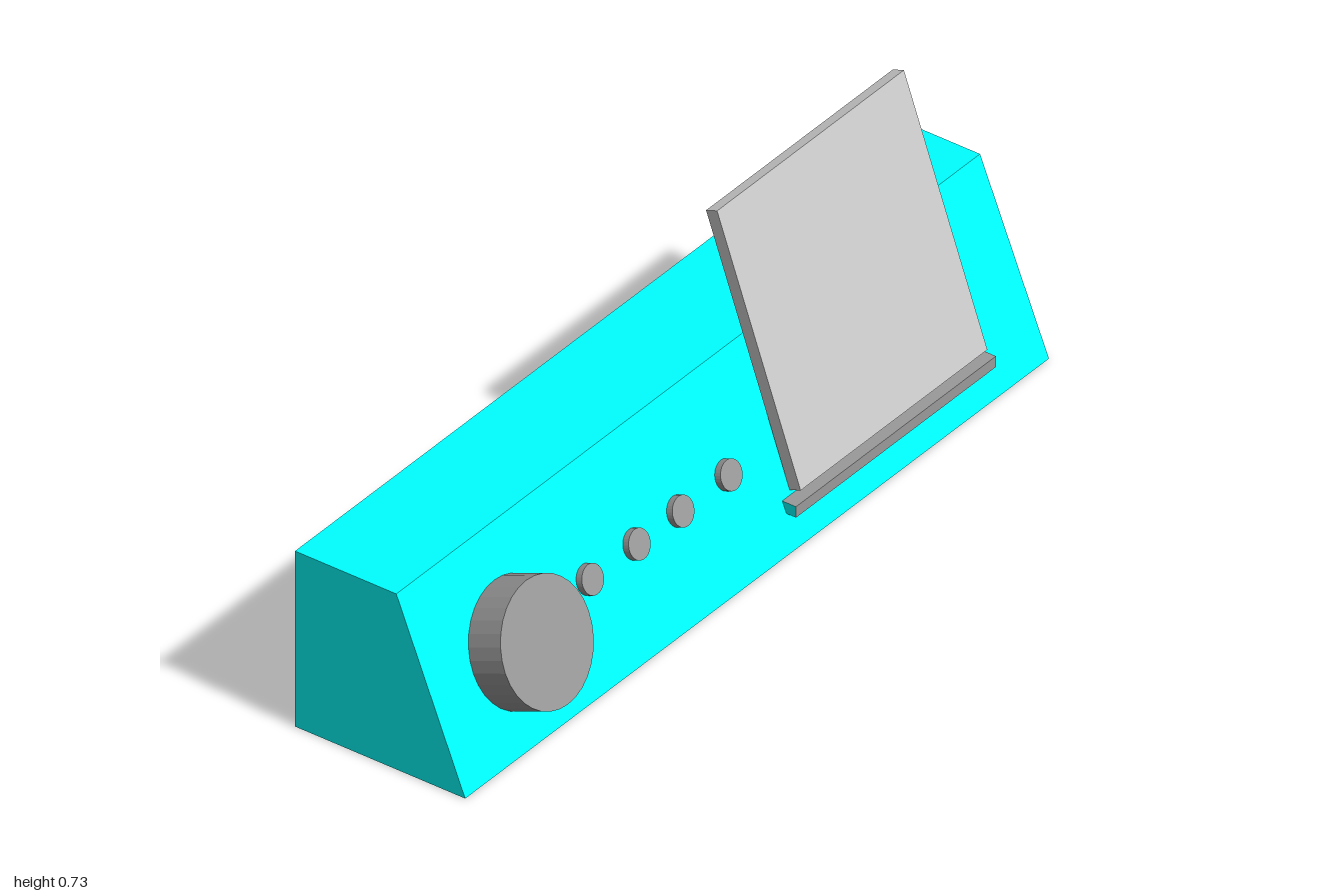
import * as THREE from 'three';

const cyan = new THREE.MeshStandardMaterial({ color: 0x00ffff, flatShading: true });
const lightGrey = new THREE.MeshStandardMaterial({ color: 0xcccccc, flatShading: true });
const darkGrey = new THREE.MeshStandardMaterial({ color: 0x9a9a9a, flatShading: true });

// Sloping control face: x at a given height, and the tilt of its normal
const BOTTOM_X = 0.19, TOP_X = 0.013, HEIGHT = 0.437;
const slopeX = (y) => BOTTOM_X + (TOP_X - BOTTOM_X) * y / HEIGHT;
const TILT = Math.atan2(BOTTOM_X - TOP_X, HEIGHT);

// Extrudes an x-y profile from z0 to z1
function prism(name, points, z0, z1, material) {
  const shape = new THREE.Shape(points.map(([x, y]) => new THREE.Vector2(x, y)));
  const geometry = new THREE.ExtrudeGeometry(shape, { depth: z1 - z0, bevelEnabled: false });
  geometry.translate(0, 0, z0);
  const mesh = new THREE.Mesh(geometry, material);
  mesh.name = name;
  return mesh;
}

// Round control standing out of the sloping face
function knob(name, y, z, radius, depth) {
  const geometry = new THREE.CylinderGeometry(radius, radius, depth, 32);
  geometry.translate(0, depth / 2, 0);
  const mesh = new THREE.Mesh(geometry, darkGrey);
  mesh.name = name;
  mesh.rotation.z = TILT - Math.PI / 2;
  mesh.position.set(slopeX(y), y, z);
  return mesh;
}

export function createModel() {
  const model = new THREE.Group();
  model.name = 'controlConsole';

  // Wedge-shaped housing
  model.add(prism('housing',
    [[-0.247, 0], [BOTTOM_X, 0], [TOP_X, HEIGHT], [-0.247, HEIGHT]], -1, 1, cyan));

  // Large dial and a row of small buttons
  model.add(knob('dial', 0.2025, 0.72, 0.143, 0.089));
  [0.465, 0.305, 0.155, -0.01].forEach((z, i) =>
    model.add(knob(`button${i + 1}`, 0.217, z, 0.034, 0.016)));

  // Thin panel leaning on the sloping face
  const panel = new THREE.Mesh(new THREE.BoxGeometry(0.03, 0.645, 0.64), lightGrey);
  panel.name = 'panel';
  panel.position.set(0.053, 0.419, -0.49);
  panel.rotation.z = 0.339;
  model.add(panel);

  // Ledge below the panel, with housing-coloured ends
  model.add(prism('ledge',
    [[slopeX(0.073), 0.073], [0.185, 0.073], [0.185, 0.1], [slopeX(0.1), 0.1]],
    -0.825, -0.14, [cyan, darkGrey]));

  return model;
}
